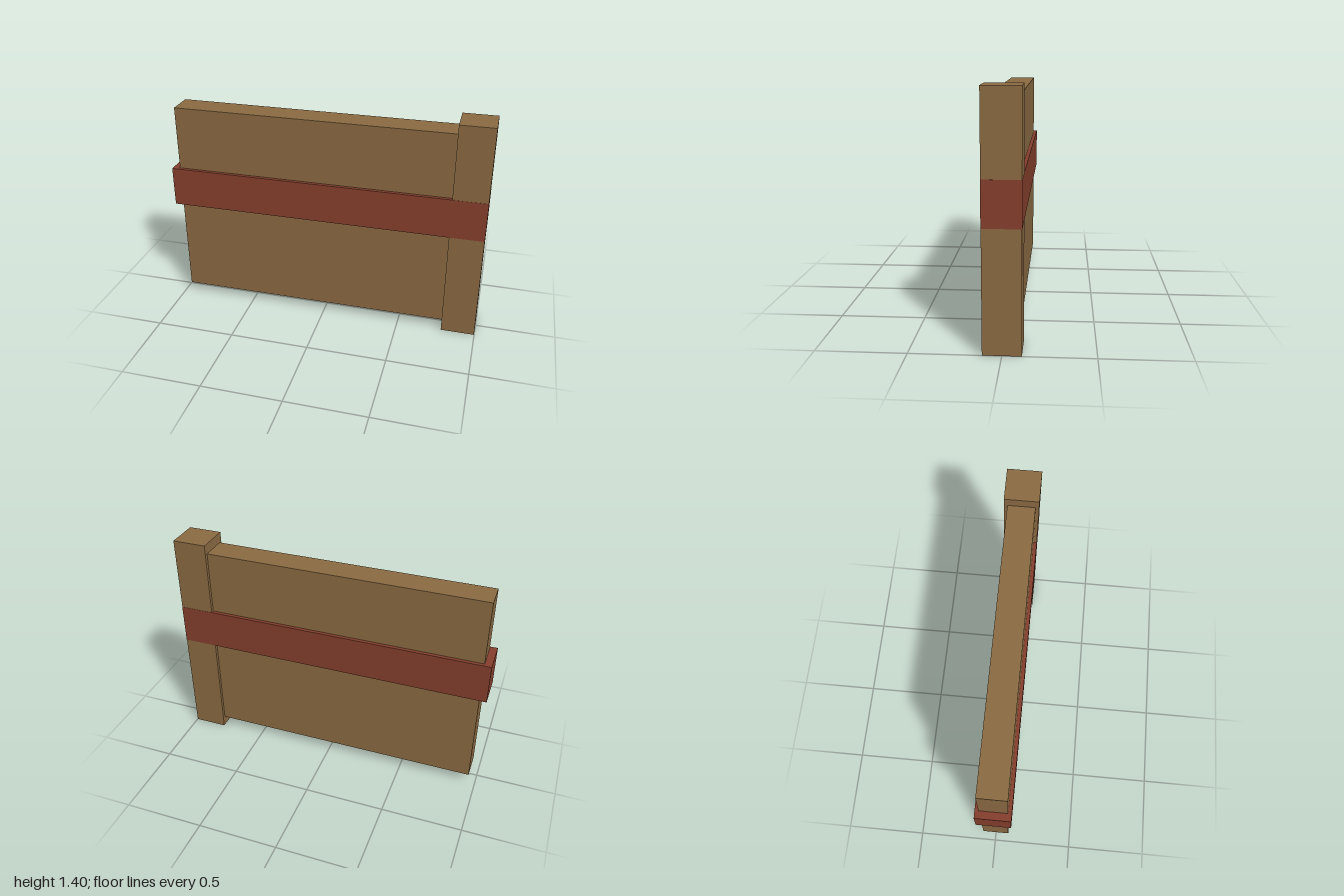
import * as THREE from 'three';

export function createModel() {
  const wood = new THREE.MeshStandardMaterial({ color: 0x8a6a42 });
  wood.name = 'brown wood';
  const red = new THREE.MeshStandardMaterial({ color: 0x853f2d });
  red.name = 'dark red';

  const group = new THREE.Group();
  group.name = 'boardPanel';

  // Box given by its limits in x and y and its depth, centred on z = 0
  const slab = (name, material, x0, x1, y0, y1, depth) => {
    const mesh = new THREE.Mesh(new THREE.BoxGeometry(x1 - x0, y1 - y0, depth), material);
    mesh.position.set((x0 + x1) / 2, (y0 + y1) / 2, 0);
    mesh.name = name;
    group.add(mesh);
  };

  // Wide board running into the end post
  slab('board', wood, -0.955, 0.8, 0.065, 1.343, 0.168);
  // Taller, thicker post at one end
  slab('endPost', wood, 0.787, 0.999, 0, 1.405, 0.21);
  // Red band around board and post, a hair proud of the post
  slab('band', red, -1, 1, 0.685, 0.938, 0.212);

  return group;
}
